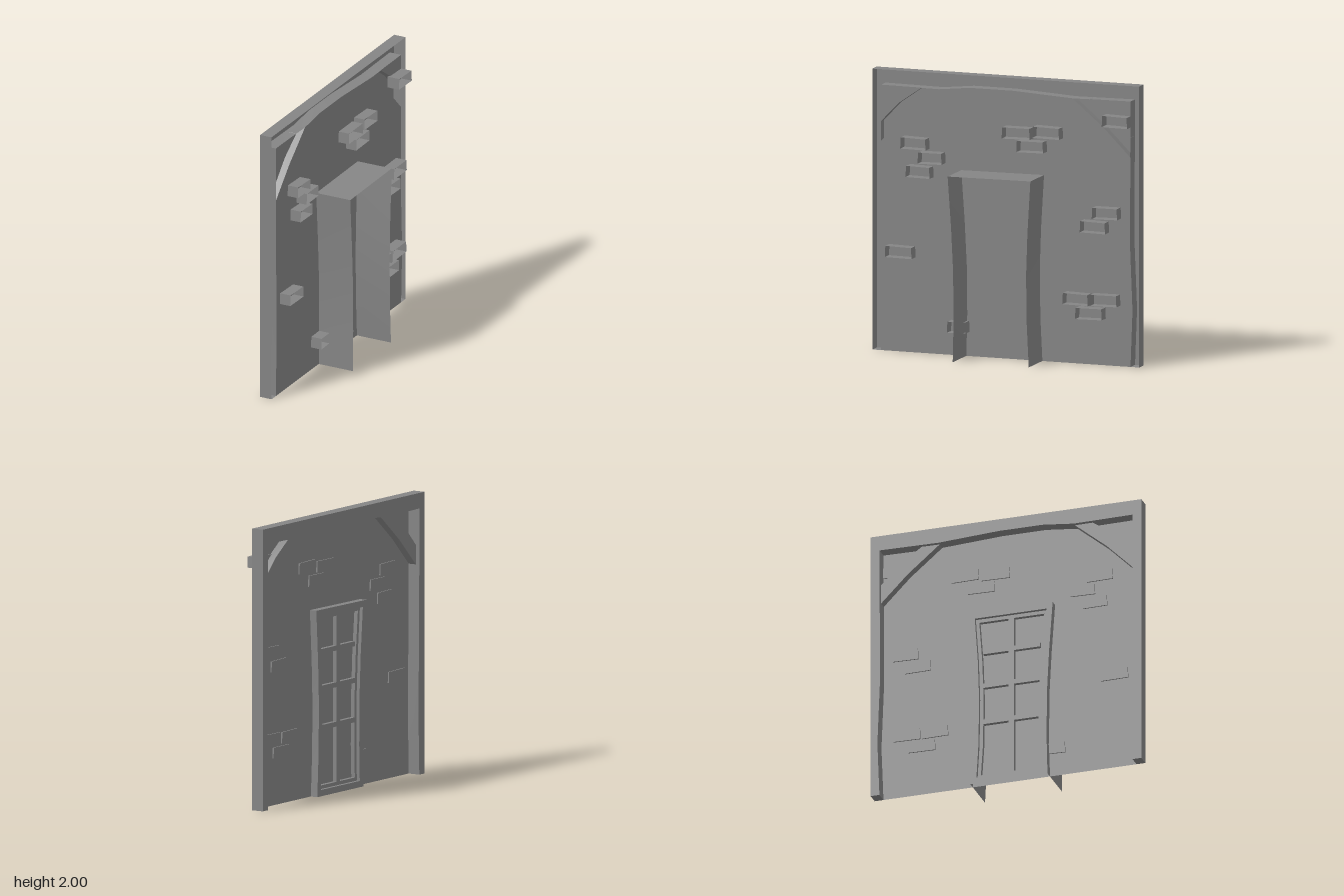
import * as THREE from 'three';
import { toCreasedNormals } from 'three/addons/utils/BufferGeometryUtils.js';

const grey = new THREE.MeshStandardMaterial({ color: 0x858585, side: THREE.DoubleSide });
const WALL_X = -0.09;

// Lower and upper edge of a corner brace, from the post to the beam
const BRACE_LOW = [[0.935, 1.49], [0.735, 1.69], [0.5, 1.885]];
const BRACE_HIGH = [[0.935, 1.63], [0.8, 1.77], [0.63, 1.888]];
const mirror = (points) => points.map(([z, y]) => [-z, y]);

const vectors = (points) => points.map(([z, y]) => new THREE.Vector2(z, y));

// Extrudes a [z, y] outline from xBack to xFront (towards -x) and drops the triangles
// for which skip(corners) is true; a corner's z is its distance from xBack.
function shell(name, points, xBack, xFront, skip, hole) {
  const shape = new THREE.Shape(vectors(points));
  if (hole) shape.holes.push(new THREE.Path(vectors(hole)));
  const depth = xBack - xFront;
  const source = new THREE.ExtrudeGeometry(shape, { depth, bevelEnabled: false });
  const position = source.getAttribute('position');
  const kept = [];
  for (let i = 0; i < position.count; i += 3) {
    const corners = [0, 1, 2].map((k) => new THREE.Vector3().fromBufferAttribute(position, i + k));
    if (!skip(corners, depth)) corners.forEach((c) => kept.push(c.x, c.y, c.z));
  }
  const geometry = new THREE.BufferGeometry();
  geometry.setAttribute('position', new THREE.Float32BufferAttribute(kept, 3));
  geometry.rotateY(-Math.PI / 2).translate(xBack, 0, 0);
  const mesh = new THREE.Mesh(toCreasedNormals(geometry, 0.4), grey);
  mesh.name = name;
  return mesh;
}

const openBack = (corners) => corners.every((c) => c.z < 1e-5);
const openBackAndFoot = (corners) => openBack(corners) || corners.every((c) => c.y < 1e-5);
const openTube = (corners, depth) =>
  openBackAndFoot(corners) || corners.every((c) => c.z > depth - 1e-5);

// Flat sheet in the wall plane
function sheet(name, points) {
  const geometry = new THREE.ShapeGeometry(new THREE.Shape(vectors(points)));
  const mesh = new THREE.Mesh(geometry.rotateY(-Math.PI / 2).translate(WALL_X, 0, 0), grey);
  mesh.name = name;
  return mesh;
}

// Wall with clipped corners, and the small corner pieces beyond the braces
function createWall() {
  const group = new THREE.Group();
  group.name = 'wall';
  group.add(sheet('wallPanel', [
    [0.935, 0], [0.925, 0.4], ...BRACE_LOW, [0.27, 1.91], [-0.05, 1.91],
    ...mirror(BRACE_LOW).reverse(), [-0.93, 0.9], [-0.95, 0.4], [-0.935, 0],
  ]));
  const corner = [...BRACE_HIGH, [0.935, 1.89]];
  group.add(sheet('wallCorner', corner), sheet('wallCorner', mirror(corner)));
  return group;
}

// Posts and top beam in one, hollow and open behind
function createFrame() {
  return shell('timberFrame', [
    [1, 0], [1, 2], [-1, 2], [-1, 0], [-0.935, 0], [-0.95, 0.4], [-0.93, 0.9], [-0.935, 1.89],
    [-0.5, 1.885], [-0.05, 1.91], [0.27, 1.91], [0.5, 1.885], [0.935, 1.89], [0.935, 1.5],
    [0.925, 0.4], [0.935, 0],
  ], WALL_X, -0.18, openBack);
}

// Bent corner braces, hollow and open behind
function createBraces() {
  const group = new THREE.Group();
  group.name = 'cornerBraces';
  const points = [...BRACE_LOW, ...[...BRACE_HIGH].reverse()];
  for (const side of [points, mirror(points)]) {
    group.add(shell('brace', side, WALL_X, -0.15, openBack));
  }
  return group;
}

// Hollow bricks: [z centre, bottom y, length]
function createBricks() {
  const group = new THREE.Group();
  group.name = 'bricks';
  const bricks = [
    [0.775, 0.68, 0.2], [0.34, 0.17, 0.14],
    [0.665, 1.46, 0.19], [0.54, 1.36, 0.18], [0.63, 1.26, 0.18],
    [-0.105, 1.58, 0.21], [-0.33, 1.6, 0.2], [-0.21, 1.49, 0.2],
    [-0.845, 1.71, 0.19], [-0.77, 1.05, 0.19], [-0.68, 0.95, 0.19],
    [-0.76, 0.43, 0.2], [-0.55, 0.43, 0.19], [-0.65, 0.33, 0.2],
  ];
  bricks.forEach(([z, y, length], i) => {
    const h = length / 2, tilt = i % 2 ? 0.003 : -0.003;
    const points = [[z - h, y + tilt], [z + h, y], [z + h - 0.004, y + 0.08], [z - h + 0.004, y + 0.078 + tilt]];
    group.add(shell('brick', points, -0.008, WALL_X - 0.01, openBack));
  });
  return group;
}

function createDoor() {
  const group = new THREE.Group();
  group.name = 'door';
  const outer = [
    [0.295, 0], [0.288, 0.3], [0.292, 0.65], [0.307, 0.95], [0.333, 1.32],
    [-0.287, 1.325], [-0.265, 0.95], [-0.255, 0.65], [-0.26, 0.3], [-0.275, 0],
  ];
  // Outline pulled in by a margin
  const inset = (m) => outer.map(([z, y]) => [z - Math.sign(z) * m, THREE.MathUtils.clamp(y, m, 1.32 - m)]);

  // Deep casing running out behind the wall
  group.add(shell('doorCasing', outer, 0.18, WALL_X, openTube));
  // Raised surround, and the sash set inside it
  group.add(shell('doorSurround', outer, WALL_X, -0.145, openBackAndFoot, inset(0.045)));
  group.add(shell('doorSash', inset(0.045), WALL_X, -0.12, openBack, inset(0.07)));

  // Glazing bars
  const bar = (name, y, height, width) => {
    const mesh = new THREE.Mesh(new THREE.BoxGeometry(0.03, height, width), grey);
    mesh.name = name;
    mesh.position.set(WALL_X - 0.015, y, 0.02);
    group.add(mesh);
  };
  bar('uprightBar', 0.66, 1.2, 0.04);
  for (const y of [1.02, 0.76, 0.48]) bar('crossBar', y, 0.035, 0.42);
  return group;
}

export function createModel() {
  const model = new THREE.Group();
  model.name = 'wallWithDoor';
  model.add(createWall(), createFrame(), createBraces(), createBricks(), createDoor());
  return model;
}
